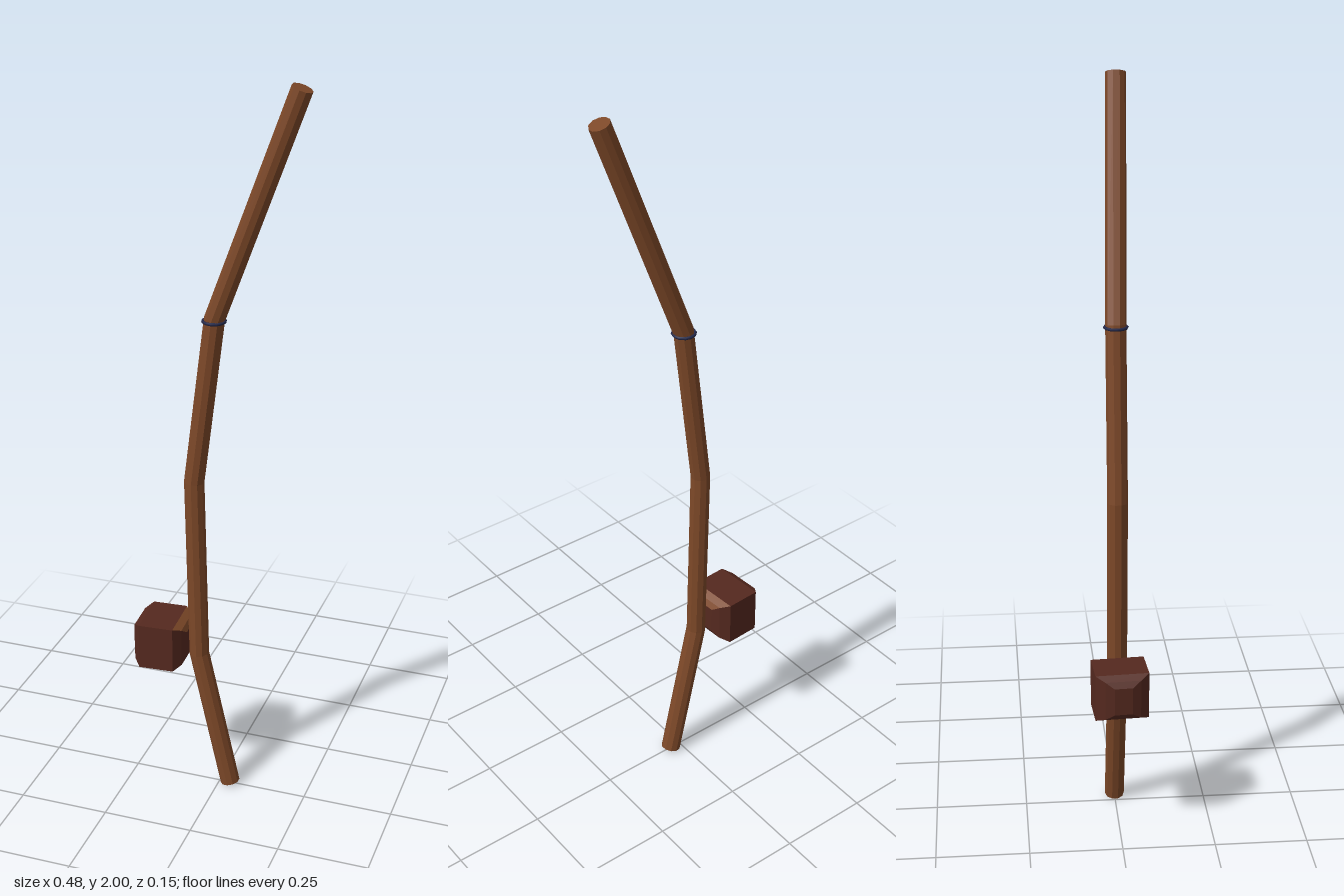
import * as THREE from 'three';

// Joins closed rings of points into a flat-shaded solid; pick(ringIndex, side) gives a material index.
function loft(rings, pick = () => 0) {
  const pos = [], n = rings[0].length;
  const geo = new THREE.BufferGeometry();
  const tri = (a, b, c, m) => {
    geo.addGroup(pos.length / 3, 3, m);
    for (const p of [a, b, c]) pos.push(p.x, p.y, p.z);
  };
  for (let i = 0; i < rings.length - 1; i++) {
    for (let j = 0; j < n; j++) {
      const k = (j + 1) % n, a = rings[i], b = rings[i + 1], m = pick(i, j);
      tri(a[j], a[k], b[k], m);
      tri(a[j], b[k], b[j], m);
    }
  }
  const first = rings[0], last = rings[rings.length - 1];
  for (let j = 1; j < n - 1; j++) {
    tri(first[0], first[j + 1], first[j], 0);
    tri(last[0], last[j], last[j + 1], 0);
  }
  geo.setAttribute('position', new THREE.Float32BufferAttribute(pos, 3));
  geo.computeVertexNormals();
  return geo;
}

// Bent pole with mitred joints
function poleGeometry(path, radius, sides) {
  const dir = i => path[i + 1].clone().sub(path[i]).normalize();
  const last = path.length - 1;
  const rings = path.map((p, i) => {
    const before = dir(Math.max(i - 1, 0)), after = dir(Math.min(i, last - 1));
    const t = before.clone().add(after).normalize();
    const v = new THREE.Vector3(1, 0, 0).addScaledVector(t, -t.x).normalize();
    const u = v.clone().cross(t).normalize();
    const mitre = 1 / t.dot(before);
    return Array.from({ length: sides }, (_, j) => {
      const a = j / sides * Math.PI * 2;
      return p.clone().addScaledVector(u, Math.cos(a) * radius)
        .addScaledVector(v, -Math.sin(a) * radius * mitre);
    }).reverse();
  });
  return loft(rings);
}

export function createModel() {
  const group = new THREE.Group();
  const mat = (name, color) => {
    const m = new THREE.MeshStandardMaterial({ color });
    m.name = name;
    return m;
  };
  const wood = mat('wood', 0x7d4828);
  const darkWood = mat('dark wood', 0x55291f);
  const cord = mat('navy cord', 0x23284a);
  const add = (name, geo, material) => {
    const mesh = new THREE.Mesh(geo, material);
    mesh.name = name;
    group.add(mesh);
    return mesh;
  };

  // Staff
  const path = [
    [0.031, 0.006, 0], [-0.06, 0.41, 0], [-0.072, 0.93, 0], [-0.015, 1.39, 0], [0.209, 1.99, 0.018],
  ].map(p => new THREE.Vector3(...p));
  add('staff', poleGeometry(path, 0.027, 10), [wood]);

  // Thin ring around the upper joint
  const ring = add('ring', new THREE.TorusGeometry(0.029, 0.004, 6, 12), cord);
  ring.position.set(-0.016, 1.385, 0);
  ring.rotation.x = Math.PI / 2;

  // Side block: square section with bevelled ends along x
  const section = [
    [-0.076, 0.038, 0.024], [-0.067, 0.054, 0.047], [-0.048, 0.065, 0.071],
    [0.048, 0.065, 0.071], [0.067, 0.054, 0.047], [0.076, 0.038, 0.024],
  ];
  const corners = [[1, 1], [1, -1], [-1, -1], [-1, 1]].reverse();
  const rings = section.map(([x, y, z]) => corners.map(([sy, sz]) => new THREE.Vector3(x, sy * y, sz * z)));
  // The upper bevel on the staff side is plain wood
  const isTop = j => corners[j][0] > 0 && corners[(j + 1) % 4][0] > 0;
  const block = add('sideBlock', loft(rings, (i, j) => (i >= 3 && isTop(j) ? 1 : 0)), [darkWood, wood]);
  block.position.set(-0.167, 0.44, -0.002);
  block.rotation.y = 0.06;

  return group;
}
